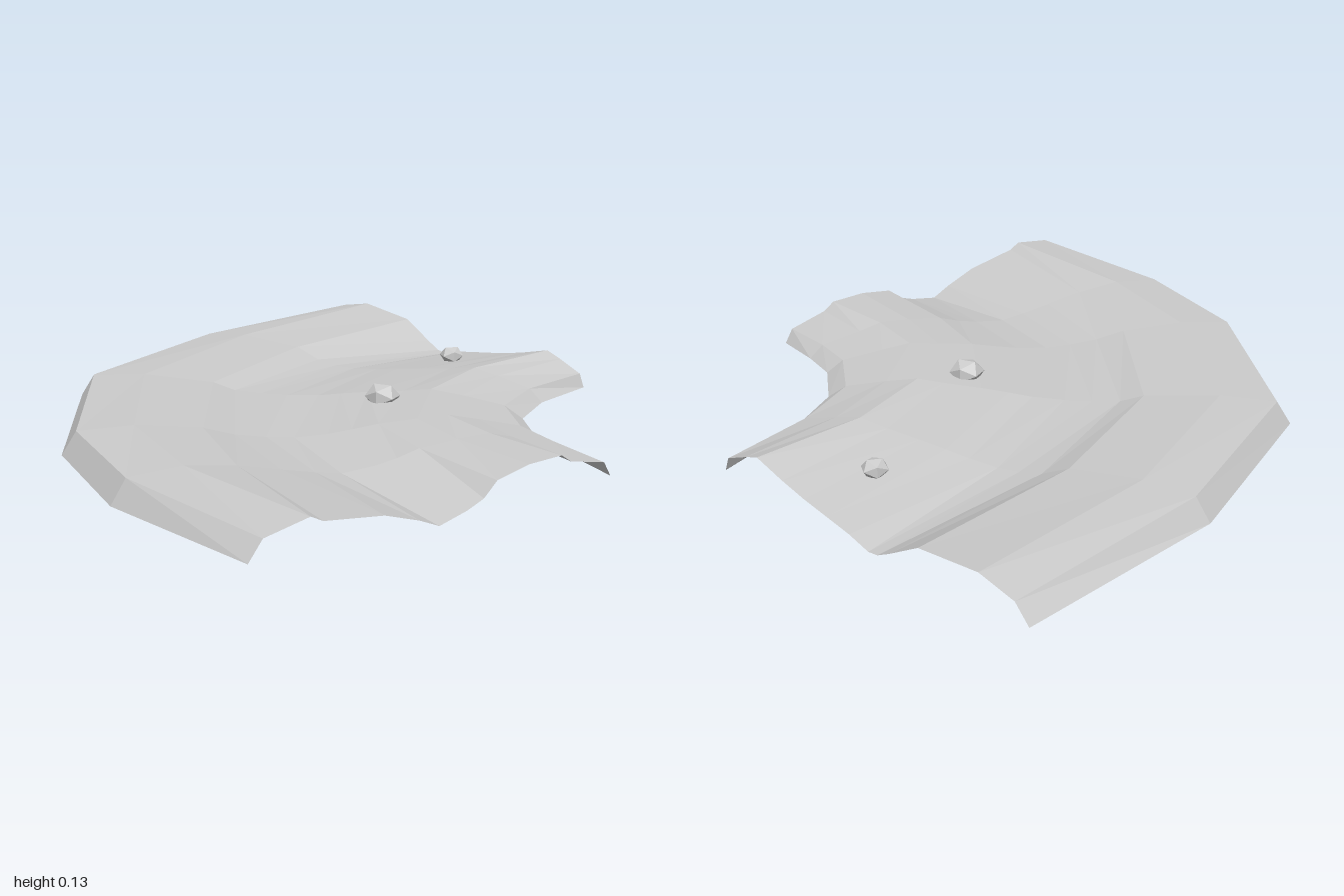
import * as THREE from 'three';

const material = new THREE.MeshStandardMaterial({ color: 0xcccccc, flatShading: true, side: THREE.DoubleSide });

// Outer and inner edges of the bend, as [x, z] at each station
const outer = [[-1, -1], [-0.92, -0.26], [-0.66, 0.41], [-0.1, 0.83], [0.38, 0.975], [1, 1]];
const inner = [[0.29, -1], [0.37, -0.7], [0.48, -0.49], [0.65, -0.37], [0.8, -0.33], [1, -0.29]];

// Cross-sections from outer bank to inner bank: fraction of the width, height
const backEnd = [[0, 0.045], [0.039, 0.095], [0.14, 0.12], [0.318, 0.095], [0.41, 0.03], [0.45, 0.005], [0.48, 0],
  [0.543, 0.02], [0.62, 0.035], [0.698, 0.05], [0.775, 0.07], [0.868, 0.1], [0.915, 0.08], [0.985, 0.045], [1, 0]];
const middle = [[0, 0.02], [0.03, 0.09], [0.15, 0.1], [0.31, 0.085], [0.36, 0.062], [0.42, 0.056], [0.48, 0.055],
  [0.55, 0.06], [0.6, 0.07], [0.66, 0.08], [0.74, 0.09], [0.8, 0.1], [0.87, 0.085], [0.96, 0.06], [1, 0.02]];
const sideEnd = [[0, 0.045], [0.035, 0.098], [0.147, 0.12], [0.178, 0.1], [0.333, 0.07], [0.426, 0.03], [0.48, 0],
  [0.558, 0.02], [0.605, 0.04], [0.643, 0.08], [0.736, 0.1], [0.837, 0.1], [0.868, 0.075], [0.977, 0.045], [1, 0]];

// Which end profile each station leans to, and how strongly
const blends = [[backEnd, 1], [backEnd, 0.3], [middle, 0], [sideEnd, 0.15], [sideEnd, 0.4], [sideEnd, 1]];

// Curved bed lofted through the cross-sections
function createBed() {
  const lerp = THREE.MathUtils.lerp;
  const positions = [], indices = [], n = middle.length;
  blends.forEach(([end, w], i) => {
    for (let j = 0; j < n; j++) {
      const t = lerp(middle[j][0], end[j][0], w);
      // The outer lip stays low everywhere but at the very ends
      const y = j === 0 && w < 1 ? 0.02 : lerp(middle[j][1], end[j][1], w);
      positions.push(lerp(outer[i][0], inner[i][0], t), y, lerp(outer[i][1], inner[i][1], t));
      if (i < blends.length - 1 && j < n - 1) {
        const a = i * n + j;
        indices.push(a, a + n, a + 1, a + 1, a + n, a + n + 1);
      }
    }
  });
  const geometry = new THREE.BufferGeometry();
  geometry.setAttribute('position', new THREE.Float32BufferAttribute(positions, 3));
  geometry.setIndex(indices);
  geometry.computeVertexNormals();
  const bed = new THREE.Mesh(geometry, material);
  bed.name = 'curvedBed';
  return bed;
}

// Small faceted stone half sunk in the bed
function createStone(name, x, y, z, radius, turn) {
  const stone = new THREE.Mesh(new THREE.IcosahedronGeometry(radius, 0), material);
  stone.name = name;
  stone.position.set(x, y, z);
  stone.scale.y = 0.75;
  stone.rotation.y = turn;
  return stone;
}

export function createModel() {
  const model = new THREE.Group();
  model.name = 'curvedStreamBed';
  model.add(
    createBed(),
    createStone('largeStone', 0.2, 0.095, -0.15, 0.056, 0.4),
    createStone('smallStone', -0.12, 0.075, -0.77, 0.042, 1.1)
  );
  return model;
}
